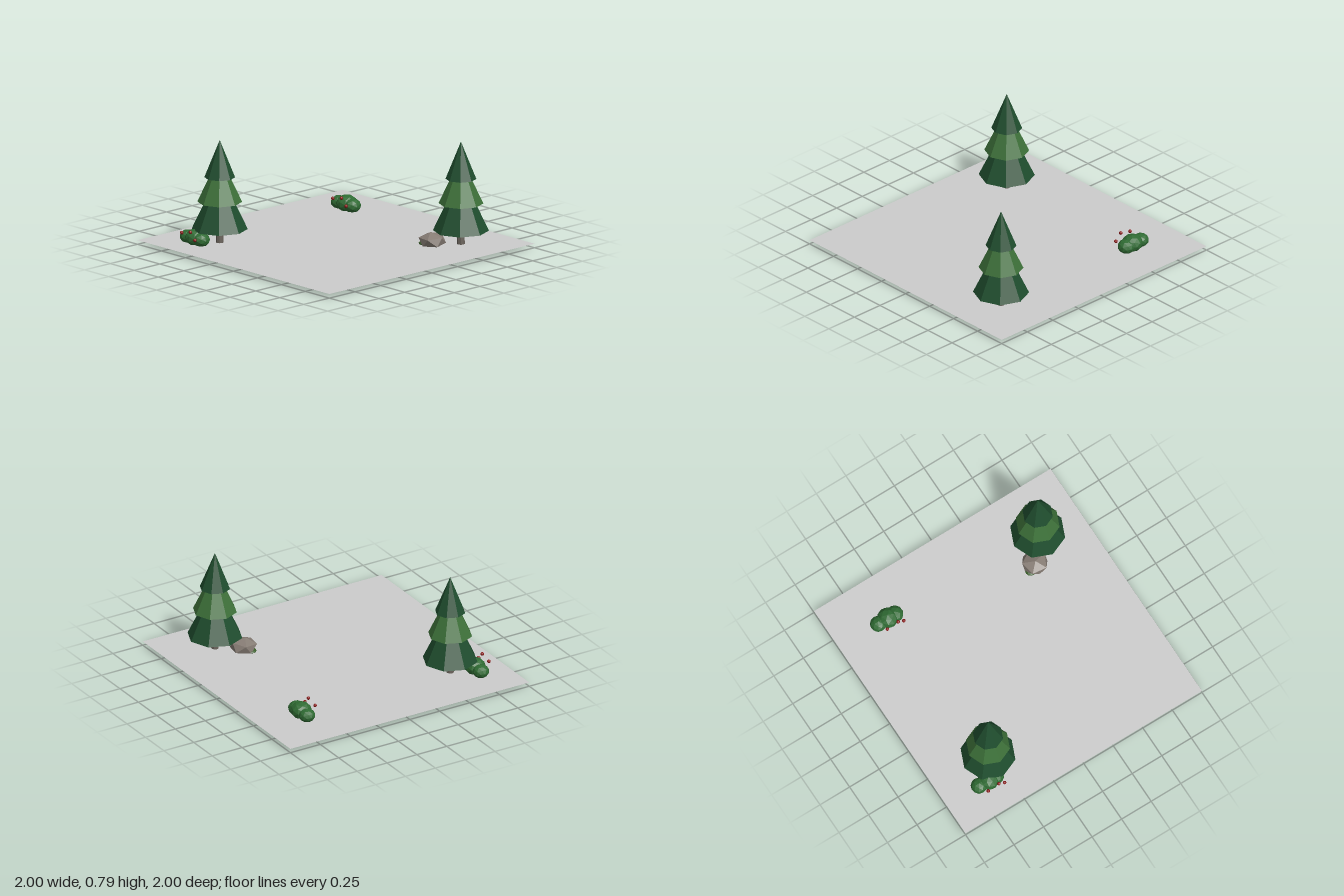
import * as THREE from 'three';

const mat = (name, color, extra = {}) => {
  const m = new THREE.MeshStandardMaterial({ color, flatShading: true, ...extra });
  m.name = name;
  return m;
};

export function createModel() {
  const model = new THREE.Group();
  model.name = 'forestClearing';

  const ground = mat('ground grey', 0xcccccc, { side: THREE.DoubleSide });
  const pineDark = mat('dark pine green', 0x1f4d2e);
  const pineLight = mat('light pine green', 0x3d7039);
  const bark = mat('bark grey', 0x6b645c);
  const stone = mat('stone grey', 0x857b73);
  const leaf = mat('bush green', 0x2f6b33);
  const moss = mat('moss green', 0x3a5f2a);
  const berryRed = mat('berry red', 0x8b1a1a);

  const add = (parent, name, geometry, material, x, y, z) => {
    const mesh = new THREE.Mesh(geometry, material);
    mesh.name = name;
    mesh.position.set(x, y, z);
    parent.add(mesh);
    return mesh;
  };
  const group = (name, x, z) => {
    const g = new THREE.Group();
    g.name = name;
    g.position.set(x, 0, z);
    model.add(g);
    return g;
  };

  // Flat ground sheet; stones and bushes sink slightly through it
  const groundY = 0.03;
  add(model, 'ground', new THREE.PlaneGeometry(2, 2).rotateX(-Math.PI / 2), ground, 0, groundY, 0);

  // Pine trees: trunk and three stacked eight-sided cones
  const tiers = [
    ['lowerFoliage', 0.13, 0.2, 0.42, pineDark],
    ['middleFoliage', 0.33, 0.16, 0.34, pineLight],
    ['topFoliage', 0.51, 0.11, 0.275, pineDark],
  ];
  for (const [x, z] of [[-0.56, 0.61], [0.645, -0.615]]) {
    const tree = group('pineTree', x, z);
    add(tree, 'trunk', new THREE.CylinderGeometry(0.022, 0.028, 0.2, 8), bark, 0, groundY + 0.1, 0);
    for (const [name, base, radius, height, material] of tiers) {
      add(tree, name, new THREE.ConeGeometry(radius, height, 8), material, 0, base + height / 2, 0);
    }
  }

  // Berry bushes: three faceted lobes with berries along the front
  const lobes = [[-0.07, 0.07, 0.06], [0.01, 0.077, 0.077], [0.068, 0.07, 0.064]];
  const berries = [[-0.045, 0.115], [0.045, 0.135], [0.093, 0.085]];
  for (const [x, z] of [[-0.662, 0.76], [-0.605, -0.66]]) {
    const bush = group('berryBush', x, z);
    lobes.forEach(([lx, ly, r], i) => {
      const lobe = add(bush, 'bushLobe', new THREE.IcosahedronGeometry(r, 1).rotateY(i * 0.7), leaf, lx, ly, 0);
      lobe.scale.y = 0.82;
    });
    for (const [bx, by] of berries) {
      add(bush, 'berry', new THREE.IcosahedronGeometry(0.013, 1), berryRed, bx, by, 0.083);
    }
  }

  // Squat boulder with a patch of moss low on its side
  const boulder = group('boulder', 0.518, -0.455);
  const rock = new THREE.IcosahedronGeometry(0.104, 0).rotateX(-0.85).rotateY(0.5).rotateZ(0.12);
  rock.scale(1, 0.6, 1);
  rock.computeBoundingBox();
  add(boulder, 'rock', rock, stone, 0, -rock.boundingBox.min.y, 0);
  const patch = new THREE.IcosahedronGeometry(0.045, 1).scale(1, 0.32, 0.9);
  add(boulder, 'moss', patch, moss, -0.05, 0.035, 0.03);

  return model;
}
